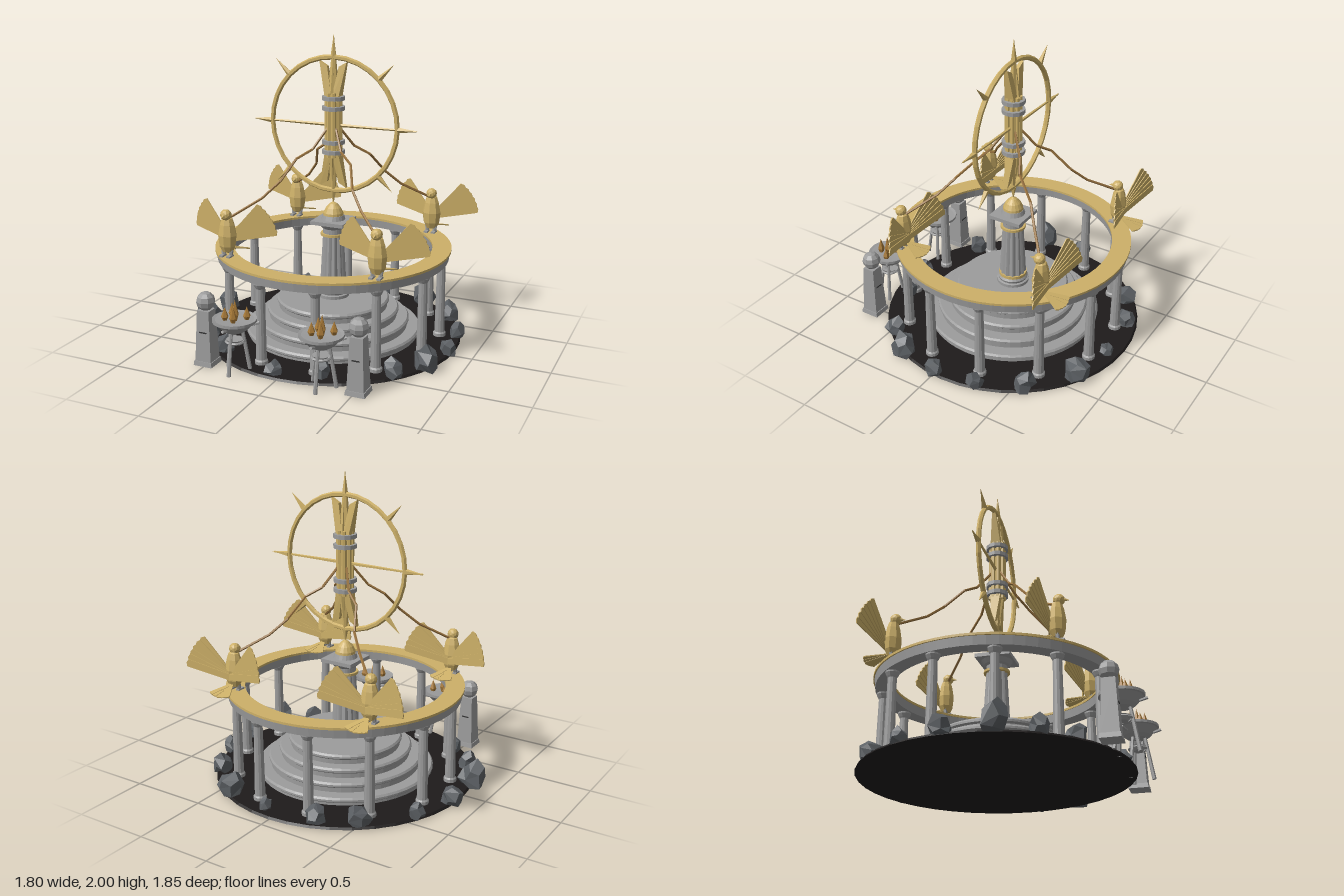
import * as THREE from 'three';

const mat = (color, flatShading = true) => new THREE.MeshStandardMaterial({ color, flatShading, side: THREE.DoubleSide });
const STONE = mat(0x9c9c9c), GOLD = mat(0xcdb068), ROCK = mat(0x5c6064), FLOOR = mat(0x1e1b1b);
const FLAME = mat(0xa87a38), ROPE = mat(0x9a7440), DARK = mat(0x333333);
const CZ = -0.07; // depth of the temple axis

function add(parent, name, geo, material, x = 0, y = 0, z = 0) {
  const m = new THREE.Mesh(geo, material);
  m.name = name;
  m.position.set(x, y, z);
  parent.add(m);
  return m;
}
function group(parent, name, x = 0, y = 0, z = 0) {
  const g = new THREE.Group();
  g.name = name;
  g.position.set(x, y, z);
  parent.add(g);
  return g;
}
const lathe = (pts, seg) => new THREE.LatheGeometry(pts.map(p => new THREE.Vector2(p[0], p[1])), seg);
const cyl = (rt, rb, h, seg) => new THREE.CylinderGeometry(rt, rb, h, seg);

// straight tapered rod between two points
function rod(parent, name, a, b, ra, rb, material, seg = 6) {
  const A = new THREE.Vector3(...a), B = new THREE.Vector3(...b), d = B.clone().sub(A);
  const m = add(parent, name, cyl(rb, ra, d.length(), seg), material);
  m.position.copy(A).add(B).multiplyScalar(0.5);
  m.quaternion.setFromUnitVectors(new THREE.Vector3(0, 1, 0), d.normalize());
  return m;
}

// flat feather lying along +x
function feather(length, root, tip) {
  const s = new THREE.Shape([[0, -root], [length * 0.97, -tip], [length, 0], [length * 0.97, tip], [0, root]]
    .map(p => new THREE.Vector2(...p)));
  return new THREE.ExtrudeGeometry(s, { depth: 0.007, bevelEnabled: false }).translate(0, 0, -0.0035);
}

function makeBird(parent, x, z) {
  const b = group(parent, 'bird', x, 0.62, z);
  add(b, 'birdBody', lathe([[0, 0.02], [0.035, 0.03], [0.056, 0.07], [0.064, 0.14], [0.05, 0.21], [0.036, 0.25], [0, 0.27]], 8), GOLD).scale.z = 0.85;
  add(b, 'birdHead', new THREE.IcosahedronGeometry(0.037, 1), GOLD, 0, 0.275, 0.012);
  add(b, 'beak', new THREE.ConeGeometry(0.014, 0.04, 5), GOLD, 0, 0.27, 0.058).rotation.x = Math.PI / 2 + 0.2;
  for (const s of [-1, 1]) {
    rod(b, 'birdLeg', [s * 0.026, 0, 0.01], [s * 0.026, 0.06, 0], 0.011, 0.018, STONE);
    add(b, 'birdFoot', new THREE.BoxGeometry(0.026, 0.012, 0.055), STONE, s * 0.026, 0.006, 0.02);
    const wing = group(b, 'wing', 0, 0.1, -0.025);
    wing.rotation.y = s > 0 ? 0.22 : Math.PI - 0.22;
    for (let i = 0; i < 6; i++) {
      const f = add(wing, 'wingFeather', feather(0.315, 0.02, 0.025), GOLD, 0, 0, -s * i * 0.005);
      f.rotation.z = 0.84 - i * 0.127;
    }
  }
  // fanned tail sloping down to the ring
  const tail = group(b, 'tail', 0, 0.042, -0.03);
  tail.rotation.x = -0.25;
  for (let i = -2; i <= 2; i++) {
    const f = add(tail, 'tailFeather', feather(0.15, 0.012, 0.02).rotateX(Math.PI / 2), GOLD, 0, Math.abs(i) * 0.002, 0);
    f.rotation.y = Math.PI / 2 + i * 0.22;
  }
}

function makeBrazier(parent, x, z) {
  const g = group(parent, 'brazier', x, 0, z);
  add(g, 'bowl', lathe([[0, 0.265], [0.06, 0.268], [0.085, 0.285], [0.125, 0.33], [0.138, 0.333], [0.138, 0.35], [0.12, 0.345], [0, 0.335]], 20), STONE);
  add(g, 'brace', new THREE.TorusGeometry(0.055, 0.009, 5, 12).rotateX(Math.PI / 2), STONE, 0, 0.2, 0);
  add(g, 'bracePlate', cyl(0.055, 0.03, 0.03, 10), STONE, 0, 0.2, 0);
  for (let i = 0; i < 3; i++) {
    const a = Math.PI / 2 + i * Math.PI * 2 / 3, c = Math.cos(a), s = Math.sin(a);
    rod(g, 'brazierLeg', [c * 0.09, 0, s * 0.09], [c * 0.045, 0.28, s * 0.045], 0.013, 0.011, STONE);
    rod(g, 'brazierHandle', [c * 0.1, 0.3, s * 0.1], [c * 0.15, 0.315, s * 0.15], 0.008, 0.01, STONE);
  }
  const flames = [[-0.035, -0.037, 0.1], [0.068, -0.033, 0.09], [0.006, 0.002, 0.135], [-0.05, 0.03, 0.09], [0.018, 0.05, 0.11]];
  for (const [fx, fz, h] of flames)
    add(g, 'flame', lathe([[0.012, 0], [0.024, h * 0.3], [0.012, h * 0.65], [0, h]], 5), FLAME, fx, 0.335, fz);
}

function makePost(parent, x, z) {
  const g = group(parent, 'ballPost', x, 0, z);
  const square = (rt, rb, h) => cyl(rt * Math.SQRT2, rb * Math.SQRT2, h, 4).rotateY(Math.PI / 4);
  add(g, 'postBase', square(0.06, 0.064, 0.03), STONE, 0, 0.015, 0);
  add(g, 'postShaft', square(0.041, 0.055, 0.33), STONE, 0, 0.195, 0);
  add(g, 'postBall', new THREE.SphereGeometry(0.061, 8, 6), STONE, 0, 0.415, 0);
  for (const s of [-1, 1])
    add(g, 'postSlit', new THREE.BoxGeometry(0.05, 0.008, 0.004), DARK, 0, 0.22, s * 0.0475);
}

function makeRock(parent, x, z, r, h, seed) {
  const geo = new THREE.DodecahedronGeometry(1, 0), p = geo.attributes.position;
  for (let i = 0; i < p.count; i++) {
    const a = p.getX(i), b = p.getY(i), c = p.getZ(i);
    const f = 1 + 0.16 * Math.sin(a * 4 + b * 7 + c * 5 + seed * 2.3);
    p.setXYZ(i, a * f * r, Math.max(0.003, h * 0.35 + b * f * h * 0.65), c * f * r);
  }
  geo.computeVertexNormals();
  add(parent, 'rock', geo, ROCK, x, 0, z).rotation.y = seed;
}

function makeWheel(parent) {
  const w = group(parent, 'wheel', 0, 1.42, 0);
  add(w, 'wheelRim', new THREE.TorusGeometry(0.436, 0.017, 6, 32), GOLD);
  // eight spikes around the rim
  for (let i = 0; i < 8; i++) {
    const a = i * Math.PI / 4, c = Math.cos(a), s = Math.sin(a), end = i === 6 ? 0.53 : 0.575;
    rod(w, 'rimSpike', [c * 0.44, s * 0.44, 0], [c * end, s * end, 0], 0.02, 0.0005, GOLD, 5);
  }
  for (const s of [-1, 1]) {
    rod(w, 'crossSpindle', [0, 0, 0], [s * 0.56, 0, 0], 0.012, 0.006, GOLD, 5);
    rod(w, 'centreSpike', [0, s * 0.16, 0], [0, s * (s > 0 ? 0.575 : 0.53), 0], 0.042, 0.002, GOLD, 6);
    // flared prongs at both ends of the bundle
    for (const t of [-1, 1]) {
      const prong = add(w, 'prong', new THREE.BoxGeometry(0.046, 0.26, 0.05), GOLD, t * 0.045, s * 0.285, 0);
      prong.rotation.z = -s * t * 0.2;
      const p = prong.geometry.attributes.position;
      for (let i = 0; i < p.count; i++) {
        const end = p.getY(i) * s > 0;
        if (end) {
          p.setZ(i, p.getZ(i) * 0.5);
          if (p.getX(i) * t < 0) p.setY(i, p.getY(i) - s * 0.04);
        } else p.setZ(i, p.getZ(i) * 1.5);
      }
      prong.geometry.computeVertexNormals();
      rod(w, 'sideProng', [0, s * 0.17, t * 0.035], [0, s * 0.36, t * 0.018], 0.018, 0.006, GOLD, 5);
    }
  }
  // banded bundle in the middle
  add(w, 'bundleCore', cyl(0.045, 0.045, 0.4, 8), GOLD);
  for (let i = 0; i < 8; i++) {
    const a = (i + 0.5) * Math.PI / 4;
    add(w, 'bundleRod', cyl(0.016, 0.016, 0.42, 6), GOLD, Math.cos(a) * 0.042, 0, Math.sin(a) * 0.042);
  }
  for (const y of [-0.175, -0.11, 0.11, 0.175])
    add(w, 'bundleBand', cyl(0.075, 0.075, 0.026, 12), STONE, 0, y, 0);
}

function makePedestal(parent) {
  const g = group(parent, 'pedestal');
  add(g, 'pedestalBase', lathe([[0, 0.26], [0.108, 0.26], [0.108, 0.28], [0.095, 0.285], [0.1, 0.3], [0.09, 0.315], [0, 0.315]], 24), STONE);
  // fluted shaft
  const shaft = cyl(0.066, 0.09, 0.43, 48), p = shaft.attributes.position;
  for (let i = 0; i < p.count; i++) {
    const a = Math.atan2(p.getZ(i), p.getX(i)), f = 0.94 + 0.06 * Math.cos(a * 12);
    p.setX(i, p.getX(i) * f);
    p.setZ(i, p.getZ(i) * f);
  }
  add(g, 'flutedShaft', shaft, STONE, 0, 0.525, 0);
  add(g, 'lowerBand', cyl(0.093, 0.093, 0.02, 24), GOLD, 0, 0.325, 0);
  add(g, 'upperBand', cyl(0.084, 0.084, 0.016, 24), GOLD, 0, 0.69, 0);
  add(g, 'capital', lathe([[0, 0.69], [0.068, 0.69], [0.068, 0.73], [0.082, 0.74], [0.105, 0.77], [0, 0.77]], 24), STONE);
  add(g, 'capitalSlab', new THREE.BoxGeometry(0.23, 0.024, 0.23), STONE, 0, 0.778, 0);
  add(g, 'domeSeat', cyl(0.07, 0.08, 0.03, 20), STONE, 0, 0.804, 0);
  add(g, 'dome', lathe([[0.068, 0.815], [0.066, 0.835], [0.05, 0.868], [0.025, 0.895], [0, 0.91]], 16), GOLD);
}

export function createModel() {
  const model = new THREE.Group();
  model.name = 'shrine';
  const temple = group(model, 'temple', 0.006, 0, CZ);

  // ground and rounded steps
  add(temple, 'floorDisc', cyl(0.85, 0.86, 0.014, 40), FLOOR, 0, 0.007, 0);
  [0.585, 0.51, 0.44, 0.375].forEach((r, i) => {
    const y = i * 0.065, b = i ? y : 0.004, t = y + 0.065;
    add(temple, 'step', lathe([[0, b], [r - 0.012, b], [r - 0.012, y + 0.03], [r, y + 0.04], [r, t - 0.012], [r - 0.01, t], [0, t]], 48), STONE);
  });
  makePedestal(temple);
  makeWheel(temple);

  // ring of columns and the beam they carry
  for (let i = 0; i < 12; i++) {
    const a = (i + 0.5) * Math.PI / 6;
    add(temple, 'column', lathe([[0, 0.01], [0.042, 0.01], [0.042, 0.035], [0.034, 0.045], [0.028, 0.51], [0.034, 0.52], [0.044, 0.54], [0.044, 0.56], [0, 0.56]], 12),
      STONE, Math.cos(a) * 0.717, 0, Math.sin(a) * 0.717);
  }
  add(temple, 'ringBeam', lathe([[0.665, 0.55], [0.765, 0.55], [0.772, 0.608], [0.66, 0.608], [0.665, 0.55]], 64), STONE);
  add(temple, 'goldRing', lathe([[0.655, 0.606], [0.78, 0.606], [0.78, 0.621], [0.655, 0.621], [0.655, 0.606]], 64), GOLD);

  // four birds, each tied to the bundle by a kinked branch
  const path = [[0.03, 1.4, 0.03], [0.1, 1.27, 0.11], [0.19, 1.21, 0.165], [0.25, 1.08, 0.28], [0.34, 0.98, 0.36], [0.5, 0.87, 0.5]];
  for (const sx of [-1, 1]) for (const sz of [-1, 1]) {
    makeBird(temple, sx * 0.51, sz * 0.513);
    const pts = path.map(([x, y, z]) => [x * sx, y, z * sz]);
    for (let i = 1; i < pts.length; i++) rod(temple, 'branch', pts[i - 1], pts[i], 0.0085, 0.0085, ROPE, 5);
  }

  // front furniture
  for (const s of [-1, 1]) {
    makeBrazier(model, 0.006 + s * 0.29, 0.765);
    makePost(model, 0.008 + s * 0.512, 0.732);
  }

  // boulders round the edge: x, z, radius, height
  [[-0.83, 0.15, 0.085, 0.18], [-0.84, -0.15, 0.07, 0.13], [-0.74, -0.42, 0.055, 0.11], [-0.5, -0.69, 0.075, 0.13],
    [-0.26, -0.81, 0.065, 0.12], [0.09, -0.84, 0.045, 0.09], [0.41, -0.79, 0.085, 0.15], [0.66, -0.56, 0.07, 0.14],
    [0.81, -0.29, 0.055, 0.12], [0.84, 0, 0.055, 0.11], [0.79, 0.27, 0.08, 0.18], [0.64, 0.46, 0.065, 0.13],
    [0.24, 0.64, 0.055, 0.12], [-0.05, 0.72, 0.06, 0.1], [-0.48, 0.53, 0.065, 0.13], [-0.68, 0.37, 0.06, 0.13]]
    .forEach(([x, z, r, h], i) => makeRock(model, x, z, r, h, i + 1));
  return model;
}
